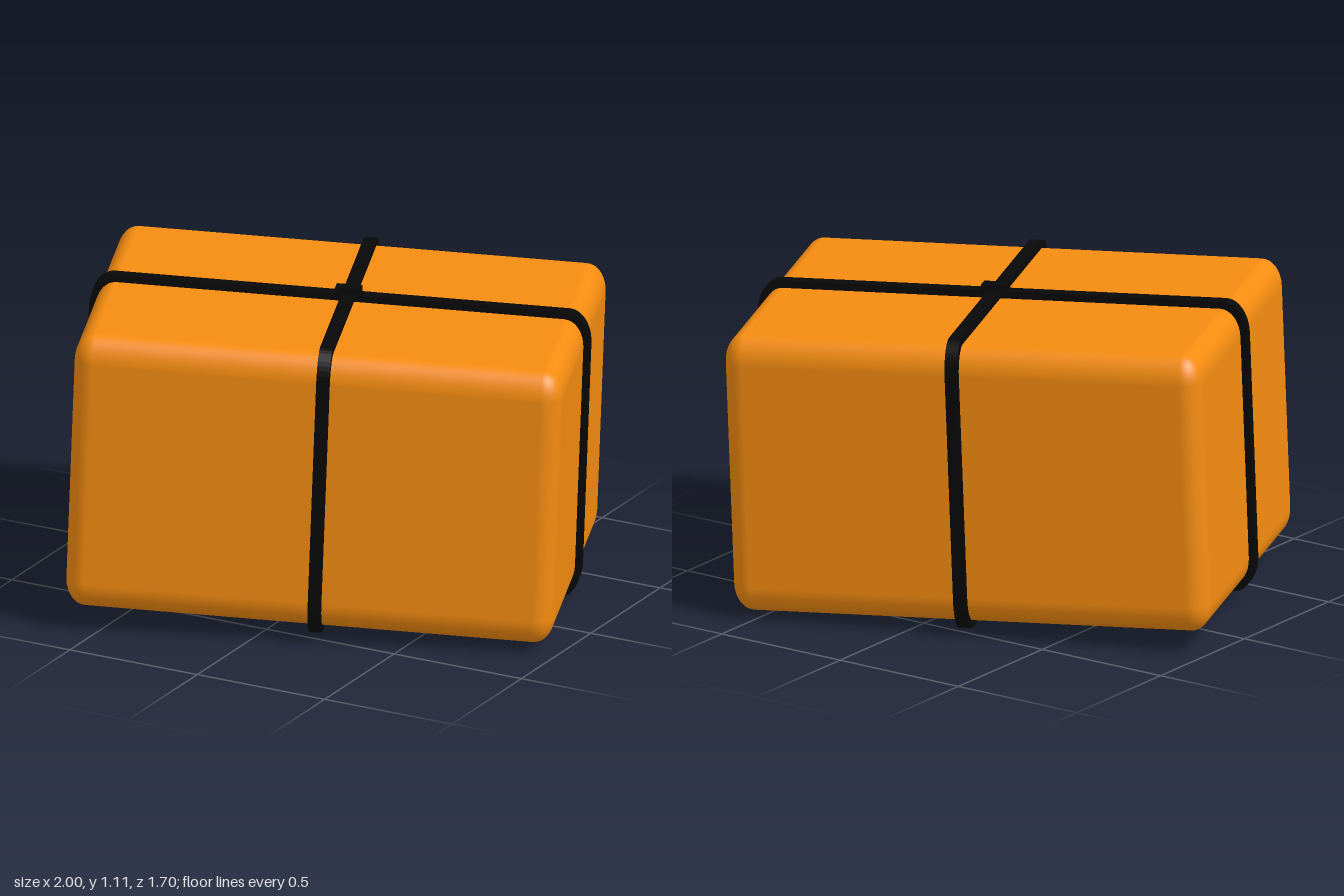
import * as THREE from 'three';
import { RoundedBoxGeometry } from 'three/addons/geometries/RoundedBoxGeometry.js';

const orange = new THREE.MeshStandardMaterial({ color: 0xf58c10 });
const black = new THREE.MeshStandardMaterial({ color: 0x080808 });

// Rectangle with elliptical corners, used for the strap loops
function loopPath(Type, hw, hh, rx, ry) {
  const p = new Type();
  p.moveTo(hw, -hh + ry);
  p.lineTo(hw, hh - ry);
  p.absellipse(hw - rx, hh - ry, rx, ry, 0, Math.PI / 2);
  p.absellipse(-hw + rx, hh - ry, rx, ry, Math.PI / 2, Math.PI);
  p.absellipse(-hw + rx, -hh + ry, rx, ry, Math.PI, Math.PI * 1.5);
  p.absellipse(hw - rx, -hh + ry, rx, ry, Math.PI * 1.5, Math.PI * 2);
  return p;
}

// Flat band running round the parcel in the local xy plane
function strap(name, halfLength, halfHeight, width) {
  const t = 0.035;
  const shape = loopPath(THREE.Shape, halfLength, halfHeight, 0.08, 0.12);
  shape.holes.push(loopPath(THREE.Path, halfLength - t, halfHeight - t, 0.06, 0.1));
  const geo = new THREE.ExtrudeGeometry(shape, { depth: width, bevelEnabled: false, curveSegments: 5 });
  geo.translate(0, 0, -width / 2);
  const mesh = new THREE.Mesh(geo, black);
  mesh.name = name;
  return mesh;
}

export function createModel() {
  const model = new THREE.Group();
  model.name = 'strappedParcel';
  const parcel = new THREE.Group();
  parcel.name = 'parcel';
  model.add(parcel);

  // Soft-edged body, with edges rounded more in height than in width
  const stretch = 1.4;
  const bodyGeo = new RoundedBoxGeometry(1.7, 1 / stretch, 1.2, 5, 0.07);
  bodyGeo.scale(1, stretch, 1);
  const body = new THREE.Mesh(bodyGeo, orange);
  body.name = 'body';
  parcel.add(body);

  // Lengthwise and crosswise straps
  const width = 0.045, crossX = 0.025;
  parcel.add(strap('lengthwiseStrap', 0.872, 0.525, width));
  const cross = strap('crosswiseStrap', 0.622, 0.525, width);
  cross.rotation.y = Math.PI / 2;
  cross.position.x = crossX;
  parcel.add(cross);

  // Raised steps where one strap passes over the other
  for (const [name, s] of [['topOverlap', 1], ['bottomOverlap', -1]]) {
    const step = new THREE.Mesh(new THREE.BoxGeometry(0.09, 0.035, width), black);
    step.name = name;
    step.position.set(crossX, s * 0.529, 0);
    parcel.add(step);
  }

  // Turned about the vertical and slightly tipped
  const up = new THREE.Vector3(0.03, 1, -0.02).normalize();
  const tilt = new THREE.Quaternion().setFromUnitVectors(new THREE.Vector3(0, 1, 0), up);
  const yaw = new THREE.Quaternion().setFromAxisAngle(new THREE.Vector3(0, 1, 0), 0.36);
  parcel.quaternion.copy(tilt).multiply(yaw);
  parcel.position.y = 0.553;
  return model;
}
